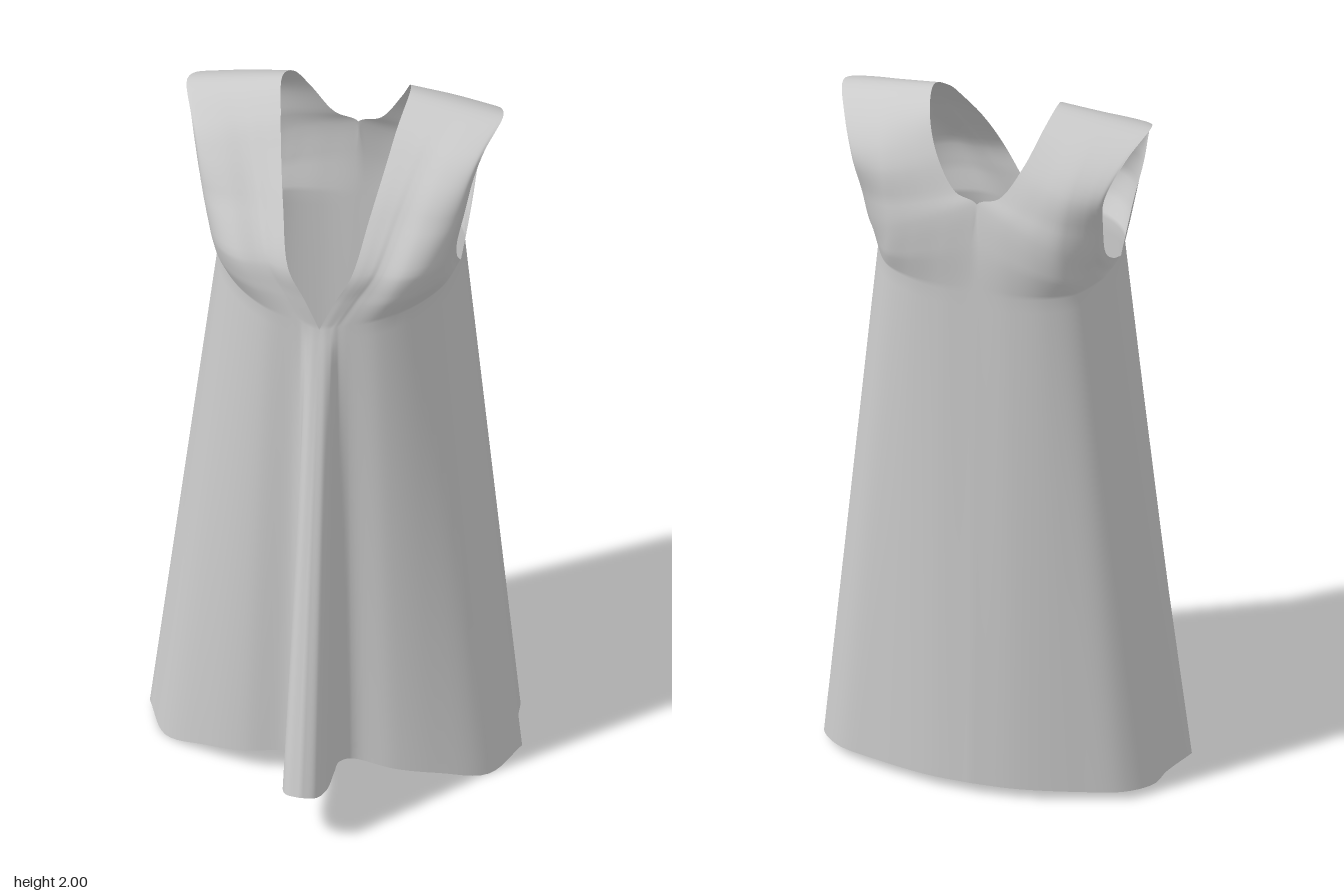
import * as THREE from 'three';
import { mergeVertices } from 'three/addons/utils/BufferGeometryUtils.js';

const V = (x, y, z) => new THREE.Vector3(x, y, z);
const curve = (pts) => new THREE.CatmullRomCurve3(pts.map((p) => V(...p)));

// Half outlines (x >= 0), running from the centre line to the side
const frontTop = curve([
  [0, 1.46, 0.13], [0.015, 1.462, 0.13], [0.03, 1.465, 0.128], [0.04, 1.47, 0.127], [0.05, 1.472, 0.125],
  [0.075, 1.475, 0.122], [0.15, 1.49, 0.105], [0.23, 1.505, 0.05], [0.295, 1.52, -0.04], [0.32, 1.53, -0.15]]);
const frontHem = curve([ // the first points form the deep centre pleat
  [0, 0.16, 0.435], [0.04, 0.155, 0.42], [0.058, 0.14, 0.36], [0.055, 0.115, 0.25], [0.055, 0.1, 0.18],
  [0.085, 0.085, 0.14], [0.2, 0.06, 0.13], [0.31, 0.037, 0.095], [0.43, 0.005, 0.03], [0.495, 0.02, -0.09]]);
const backTop = curve([
  [0, 1.5, -0.405], [0.1, 1.5, -0.403], [0.19, 1.505, -0.385], [0.26, 1.51, -0.345],
  [0.305, 1.52, -0.27], [0.316, 1.525, -0.21], [0.32, 1.53, -0.15]]);
const backHem = curve([
  [0, 0.035, -0.435], [0.12, 0.033, -0.425], [0.28, 0.03, -0.385], [0.39, 0.028, -0.345],
  [0.45, 0.025, -0.28], [0.462, 0.022, -0.2], [0.495, 0.02, -0.09]]);

// Bodice edges, from the front waist over the shoulder to the back waist
const neckEdge = curve([
  [0, 1.46, 0.13], [0.04, 1.55, 0.128], [0.085, 1.64, 0.12], [0.115, 1.77, 0.035], [0.14, 1.88, -0.06],
  [0.155, 1.95, -0.13], [0.17, 2, -0.22], [0.155, 1.965, -0.3], [0.12, 1.88, -0.355],
  [0.06, 1.785, -0.38], [0, 1.76, -0.385], [0, 1.64, -0.4], [0, 1.5, -0.405]]);
const armEdge = curve([
  [0.32, 1.53, -0.15], [0.32, 1.58, -0.1], [0.327, 1.65, -0.065], [0.35, 1.76, -0.05], [0.37, 1.86, -0.07],
  [0.39, 1.92, -0.115], [0.42, 1.965, -0.21], [0.385, 1.92, -0.31], [0.345, 1.83, -0.37],
  [0.33, 1.72, -0.335], [0.322, 1.62, -0.29], [0.32, 1.56, -0.215], [0.32, 1.53, -0.15]]);
// How strongly each bodice row follows the rounded waist outline
const fullness = [1, 0.95, 0.8, 0.4, 0.2, 0.08, 0, 0.05, 0.15, 0.35, 0.6, 0.85, 1];

const COLS = 54, SKIRT = 36, BODICE = 72;

// Skirt: straight run between hem and waist, pleat leaning slightly to +x
function skirtPoint(hem, top, u, v) {
  const p = hem.getPoint(u).lerp(top.getPoint(u), v);
  return p;
}

// Bodice: bridge from neck edge to armhole edge, rounded by the waist outline
function bodicePoint(u, s) {
  const f = frontTop.getPoint(u), b = backTop.getPoint(u);
  const t = THREE.MathUtils.lerp(f.x, b.x, s) / 0.32;
  const ring = s < 0.5 ? f : b;
  const top = s < 0.5 ? frontTop : backTop;
  const chord = top.getPoint(0).lerp(top.getPoint(1), ring.x / 0.32);
  const k = s * 12, i = Math.min(11, Math.floor(k));
  const w = THREE.MathUtils.lerp(fullness[i], fullness[i + 1], k - i);
  const p = neckEdge.getPoint(s).lerp(armEdge.getPoint(s), t);
  p.y += w * (ring.y - chord.y);
  p.z += w * (ring.z - chord.z);
  return p;
}

// One half of the dress: front hem, up over the shoulder, down to the back hem
function halfRows() {
  const rows = [];
  const addRow = (fn) => rows.push(Array.from({ length: COLS + 1 }, (_, j) => fn(j / COLS)));
  for (let i = 0; i < SKIRT; i++) addRow((u) => skirtPoint(frontHem, frontTop, u, i / SKIRT));
  for (let i = 0; i <= BODICE; i++) addRow((u) => bodicePoint(u, i / BODICE));
  for (let i = SKIRT - 1; i >= 0; i--) addRow((u) => skirtPoint(backHem, backTop, u, i / SKIRT));
  return rows;
}

function dressGeometry() {
  const rows = halfRows(), positions = [], index = [];
  for (const side of [1, -1]) {
    const base = positions.length / 3;
    for (const row of rows) for (const p of row) {
      const x = side * Math.max(0, p.x);
      const lean = p.z > 0 ? 0.013 * Math.max(0, 1 - p.y / 1.46) * Math.exp(-((x / 0.1) ** 2)) : 0;
      positions.push(x + lean, p.y, p.z);
    }
    for (let i = 0; i < rows.length - 1; i++) for (let j = 0; j < COLS; j++) {
      const a = base + i * (COLS + 1) + j, b = a + 1, d = a + COLS + 1, c = d + 1;
      if (side > 0) index.push(a, b, c, a, c, d);
      else index.push(a, c, b, a, d, c);
    }
  }
  let geo = new THREE.BufferGeometry();
  geo.setAttribute('position', new THREE.Float32BufferAttribute(positions, 3));
  geo.setIndex(index);
  geo = mergeVertices(geo, 1e-5); // weld centre and side seams
  geo.computeVertexNormals();
  return geo;
}

export function createModel() {
  const group = new THREE.Group();
  group.name = 'sleevelessDress';
  const material = new THREE.MeshStandardMaterial({ color: 0xcccccc, side: THREE.DoubleSide });
  const dress = new THREE.Mesh(dressGeometry(), material);
  dress.name = 'dress';
  group.add(dress);
  return group;
}
